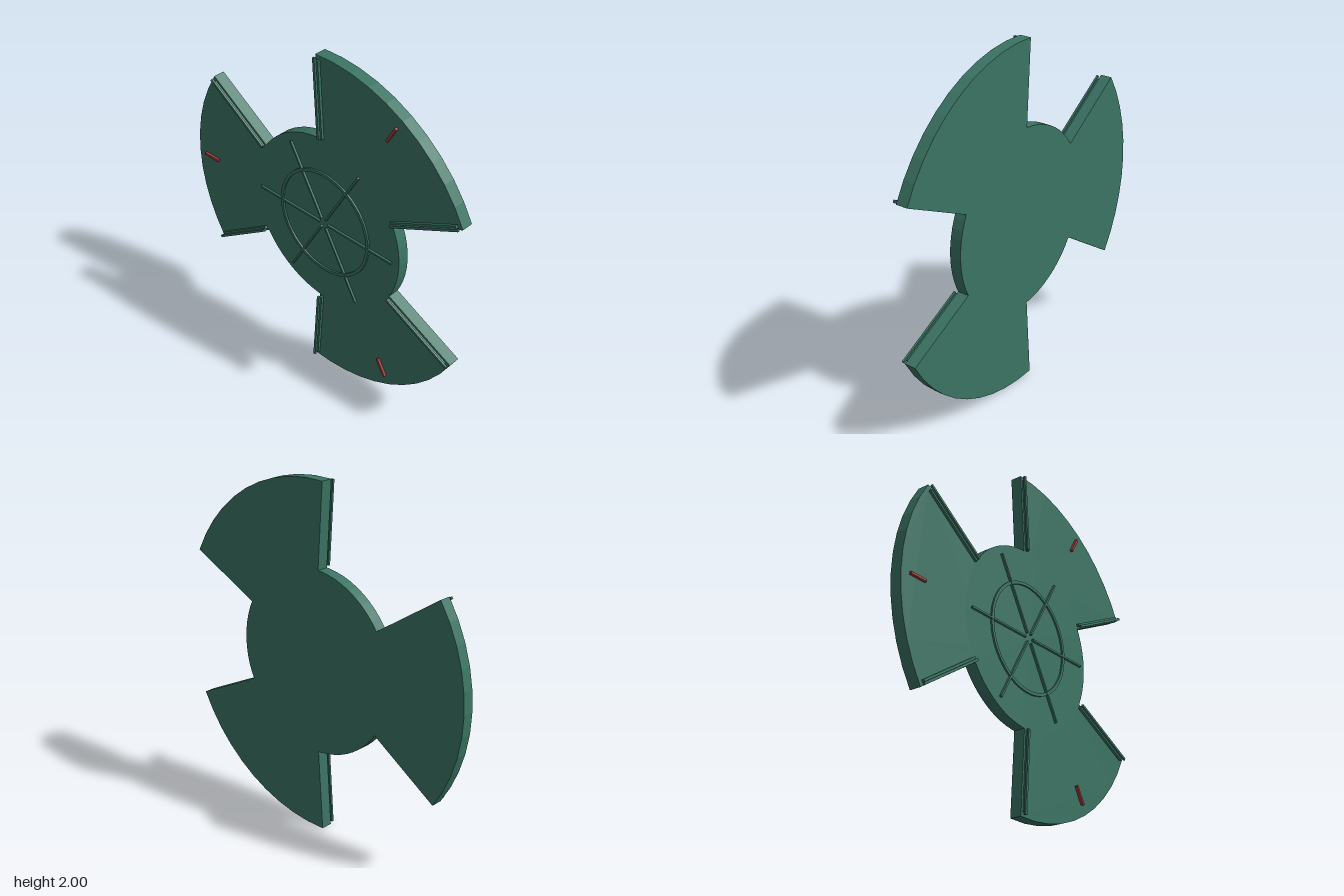
import * as THREE from 'three';

const CX = 0.052, CY = 1;            // hub axis
const BACK = -0.047, FRONT = 0.02;   // plate thickness range
const HUB_R = 0.525, OUTER_R = 1;
const HALF = THREE.MathUtils.degToRad(33.7); // half the blade angle

const green = new THREE.MeshStandardMaterial({ color: 0x3b7464, flatShading: true });
const red = new THREE.MeshStandardMaterial({ color: 0xa03a3a, flatShading: true });

function add(parent, name, geometry, material = green) {
  const mesh = new THREE.Mesh(geometry, material);
  mesh.name = name;
  parent.add(mesh);
  return mesh;
}

// Bar along local x from r0 to r1, centred on y, between z0 and z1
function bar(parent, name, r0, r1, y, width, z0, z1, material) {
  const mesh = add(parent, name, new THREE.BoxGeometry(r1 - r0, width, z1 - z0), material);
  mesh.position.set((r0 + r1) / 2, y, (z0 + z1) / 2);
  return mesh;
}

// Ring sector or full annulus profile swept between two depths
function extrude(shape, z0, z1, curveSegments = 12) {
  return new THREE.ExtrudeGeometry(shape, { depth: z1 - z0, bevelEnabled: false, curveSegments })
    .translate(0, 0, z0);
}

function sectorShape() {
  const pts = [], outer = 10, inner = 14;
  const at = (r, a) => new THREE.Vector2(r * Math.cos(a), r * Math.sin(a));
  for (let i = 0; i <= outer; i++) pts.push(at(OUTER_R, -HALF + (2 * HALF * i) / outer));
  for (let i = 0; i <= inner; i++) pts.push(at(HUB_R - 0.001, HALF - (2 * HALF * i) / inner));
  return new THREE.Shape(pts);
}

export function createModel() {
  const model = new THREE.Group();
  model.name = 'threeBladeDisc';
  const rotor = new THREE.Group();
  rotor.name = 'rotor';
  rotor.position.set(CX, CY, 0);
  model.add(rotor);

  // Hub disc
  const hub = add(rotor, 'hub',
    new THREE.CylinderGeometry(HUB_R, HUB_R, FRONT - BACK, 64).rotateX(Math.PI / 2));
  hub.position.z = (FRONT + BACK) / 2;

  // Raised ring on the hub
  const ringShape = new THREE.Shape().absarc(0, 0, 0.322, 0, Math.PI * 2);
  ringShape.holes.push(new THREE.Path().absarc(0, 0, 0.304, 0, Math.PI * 2, true));
  add(rotor, 'hubRing', extrude(ringShape, FRONT - 0.002, 0.03, 32));

  // Six thin spokes
  for (let i = 0; i < 6; i++) {
    const spoke = new THREE.Group();
    spoke.name = 'spoke';
    spoke.rotation.z = (i * Math.PI) / 3;
    bar(spoke, 'spokeBar', 0.03, 0.478, 0, 0.011, FRONT - 0.002, 0.033);
    rotor.add(spoke);
  }

  // Three blades with stepped edge strips and a red marker
  const bladeGeometry = extrude(sectorShape(), BACK, FRONT);
  for (let i = 0; i < 3; i++) {
    const blade = new THREE.Group();
    blade.name = 'blade';
    blade.rotation.z = Math.PI / 3 + (i * 2 * Math.PI) / 3;
    rotor.add(blade);
    add(blade, 'bladePlate', bladeGeometry);
    for (const s of [-1, 1]) {
      const edge = new THREE.Group();
      edge.name = 'edgeTrim';
      edge.rotation.z = s * HALF;
      bar(edge, 'innerStrip', 0.53, 0.975, -s * 0.021, 0.016, FRONT - 0.002, 0.035);
      bar(edge, 'outerStrip', 0.53, 0.993, -s * 0.01, 0.014, 0.035, 0.047);
      blade.add(edge);
    }
    bar(blade, 'redMarker', 0.832, 0.942, 0, 0.014, FRONT - 0.002, 0.036, red);
  }
  return model;
}
